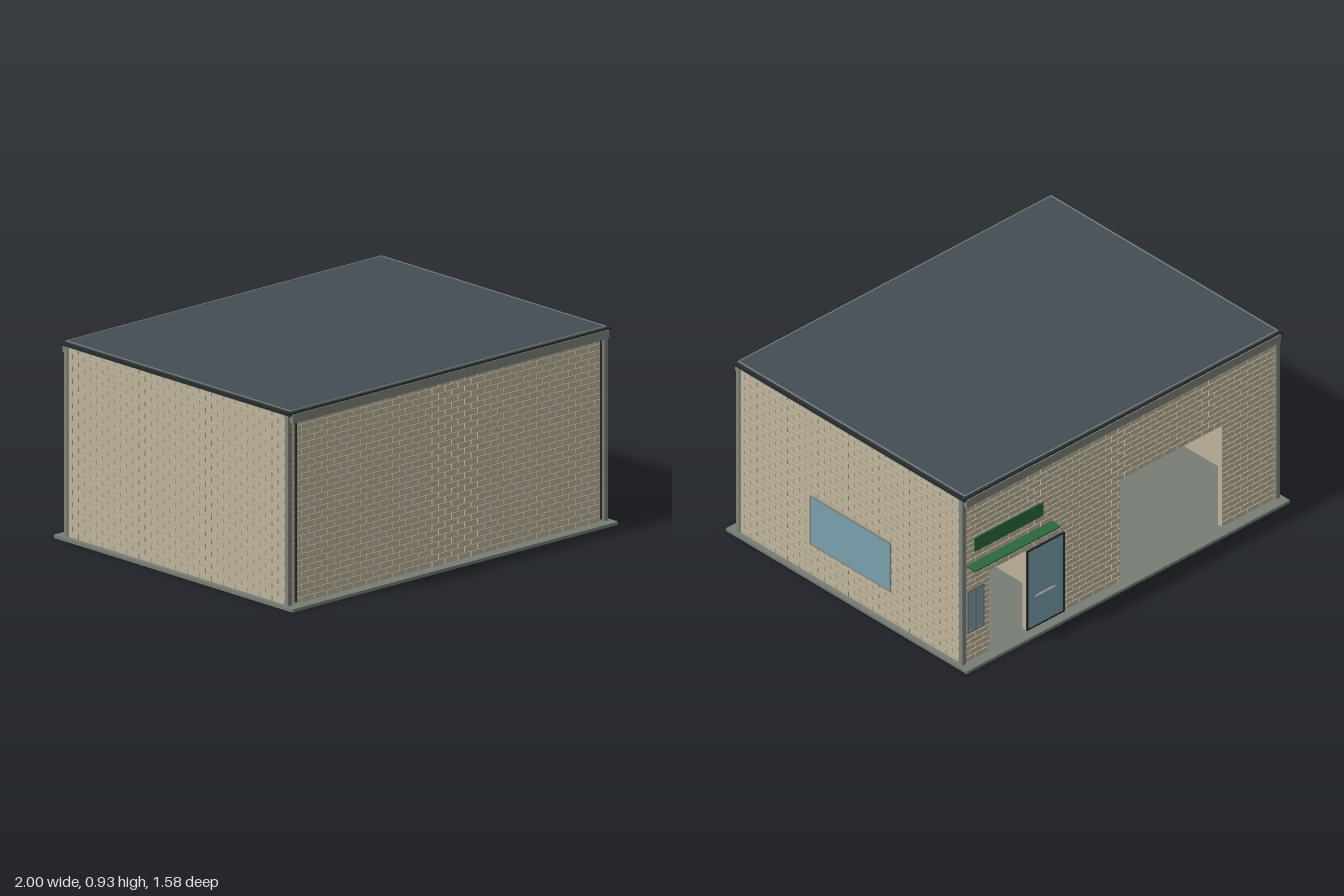
import * as THREE from 'three';
import { mergeGeometries } from 'three/addons/utils/BufferGeometryUtils.js';

const mat = (name, color) => {
  const m = new THREE.MeshStandardMaterial({ color });
  m.name = name;
  return m;
};

export function createModel() {
  const M = {
    brick: mat('beige brick', 0xbdb49b),
    concrete: mat('grey concrete', 0x777e75),
    trim: mat('grey trim', 0x7d837b),
    roof: mat('slate roof', 0x434d54),
    dark: mat('dark metal', 0x262c2e),
    glass: mat('blue glass', 0x7aa0ad),
    green: mat('green paint', 0x2b6840),
    pale: mat('pale metal', 0xb8bcb6),
  };
  const model = new THREE.Group();
  model.name = 'building';

  // Box given by its minimum and maximum corners
  const box = (name, m, x0, x1, y0, y1, z0, z1, parent = model) => {
    const mesh = new THREE.Mesh(new THREE.BoxGeometry(x1 - x0, y1 - y0, z1 - z0), m);
    mesh.position.set((x0 + x1) / 2, (y0 + y1) / 2, (z0 + z1) / 2);
    mesh.name = name;
    parent.add(mesh);
    return mesh;
  };

  const X = 0.971, Z = 0.731, BASE = 0.015, TOP = 0.91;
  const COURSE = 0.029, BRICK = 0.08, GAP = 0.004, RELIEF = 0.004;

  // Raised brick courses, cut around the openings [x0, x1, y0, y1]
  function brickCourses(half, openings) {
    const parts = [];
    for (let row = 0; BASE + row * COURSE < TOP - 0.01; row++) {
      const y0 = BASE + row * COURSE, y1 = Math.min(y0 + COURSE - GAP, TOP);
      const mid = (y0 + y1) / 2;
      for (let x = -half - (row % 2) * BRICK / 2; x < half; x += BRICK) {
        let spans = [[Math.max(x, -half), Math.min(x + BRICK - GAP, half)]];
        for (const [a, b, c, d] of openings) {
          if (mid < c || mid > d) continue;
          spans = spans.flatMap(([s, e]) => [[s, Math.min(e, a)], [Math.max(s, b), e]]);
        }
        for (const [s, e] of spans) {
          if (e - s < 0.003) continue;
          const g = new THREE.BoxGeometry(e - s, y1 - y0, RELIEF);
          g.translate((s + e) / 2, mid, RELIEF / 2);
          parts.push(g);
        }
      }
    }
    return mergeGeometries(parts);
  }

  // Wall slab facing local +z, with its brick face
  function wall(name, half, openings, turn, x, z) {
    const g = new THREE.Group();
    g.name = name;
    const rect = (P, a, b, c, d) =>
      new P().moveTo(a, c).lineTo(b, c).lineTo(b, d).lineTo(a, d).closePath();
    const shape = rect(THREE.Shape, -half, half, 0.005, TOP);
    for (const [a, b, c, d] of openings) shape.holes.push(rect(THREE.Path, a, b, c, d));
    const slab = new THREE.ExtrudeGeometry(shape, { depth: 0.02, bevelEnabled: false });
    slab.translate(0, 0, -0.02);
    const core = new THREE.Mesh(slab, M.brick);
    core.name = name + 'Core';
    const face = new THREE.Mesh(brickCourses(half, openings), M.brick);
    face.name = name + 'Bricks';
    g.add(core, face);
    g.rotation.y = turn;
    g.position.set(x, 0, z);
    model.add(g);
  }

  box('foundation', M.concrete, -1, 1, 0, BASE, -0.79, 0.79);

  // Walls; the back wall's local x is mirrored
  wall('frontWall', X, [], 0, 0, Z);
  wall('leftWall', Z, [[-0.265, 0.265, 0.18, 0.44]], Math.PI / 2, X, 0);
  wall('rightWall', Z, [], -Math.PI / 2, -X, 0);
  wall('backWall', X, [
    [0, 0.63, 0.014, 0.566],       // garage
    [-0.81, -0.58, 0.014, 0.45],   // entrance
    [-0.945, -0.845, 0.17, 0.395], // narrow window
  ], Math.PI, 0, -Z);
  box('partition', M.brick, 0.31, 0.33, BASE, TOP, -Z + 0.02, Z - 0.02);

  // Corner posts, downpipes
  for (const s of [-1, 1]) {
    for (const t of [-1, 1]) {
      const px = s * 0.971, pz = t * 0.731;
      box('cornerPost', M.trim, px - 0.011, px + 0.011, BASE, TOP, pz - 0.011, pz + 0.011);
    }
    const pipe = new THREE.Mesh(new THREE.CylinderGeometry(0.005, 0.005, 0.85, 8), M.dark);
    pipe.name = 'downpipe';
    pipe.position.set(s * 0.937, 0.453, 0.743);
    model.add(pipe);
  }

  // Roof deck with dark fascia, top seam and gutters
  box('fascia', M.dark, -0.985, 0.985, TOP, 0.926, -0.757, 0.757);
  box('roofDeck', M.roof, -0.972, 0.972, 0.92, 0.93, -0.745, 0.745);
  for (const s of [-1, 1]) {
    const x = s * 0.967, z = s * 0.75, e = s * 0.742;
    box('sideSeam', M.trim, x - 0.003, x + 0.003, 0.925, 0.932, -0.745, 0.745);
    box('endSeam', M.trim, -0.97, 0.97, 0.925, 0.932, e - 0.003, e + 0.003);
    box('gutter', M.trim, -0.972, 0.972, 0.876, 0.918, z - 0.012, z + 0.012);
  }
  for (let z = -0.65; z < 0.7; z += 0.1)
    box('purlin', M.roof, -0.95, 0.95, 0.897, TOP, z - 0.02, z + 0.02);

  // Large side window
  box('sideWindowGlass', M.glass, 0.965, 0.976, 0.182, 0.438, -0.262, 0.262);
  for (const s of [-1, 1]) {
    box('sideWindowJamb', M.trim, 0.955, 0.979, 0.18, 0.44, s * 0.263 - 0.003, s * 0.263 + 0.003);
    const y = 0.31 + s * 0.129;
    box('sideWindowRail', M.trim, 0.955, 0.979, y - 0.003, y + 0.003, -0.265, 0.265);
  }

  // Narrow back window with a centre mullion
  box('narrowWindowGlass', M.glass, 0.847, 0.943, 0.172, 0.393, -0.734, -0.72);
  for (const x of [0.848, 0.895, 0.942])
    box('narrowWindowStile', M.trim, x - 0.005, x + 0.005, 0.168, 0.397, -0.738, -0.715);
  for (const y of [0.172, 0.393])
    box('narrowWindowRail', M.trim, 0.843, 0.947, y - 0.005, y + 0.005, -0.738, -0.715);

  // Glass door leaf folded back against the wall
  const door = new THREE.Group();
  door.name = 'entranceDoor';
  model.add(door);
  box('doorGlass', M.glass, 0.355, 0.578, 0.02, 0.445, -0.741, -0.736, door);
  for (const x of [0.355, 0.578])
    box('doorStile', M.dark, x - 0.005, x + 0.005, 0.017, 0.449, -0.743, -0.735, door);
  for (const y of [0.021, 0.445])
    box('doorRail', M.dark, 0.355, 0.578, y - 0.004, y + 0.004, -0.743, -0.735, door);
  box('pushBar', M.pale, 0.41, 0.53, 0.178, 0.188, -0.746, -0.74, door);

  // Sign board, awning and its struts
  box('signBoard', M.green, 0.48, 0.905, 0.597, 0.67, -0.741, -0.735);
  const awning = box('awning', M.green, 0.42, 0.95, 0.53, 0.538, -0.789, -0.735);
  awning.rotation.x = -0.1;
  for (const x of [0.46, 0.91]) {
    const strut = box('awningStrut', M.dark, x - 0.004, x + 0.004, 0.51, 0.516, -0.79, -0.733);
    strut.rotation.x = 0.57;
  }
  return model;
}
